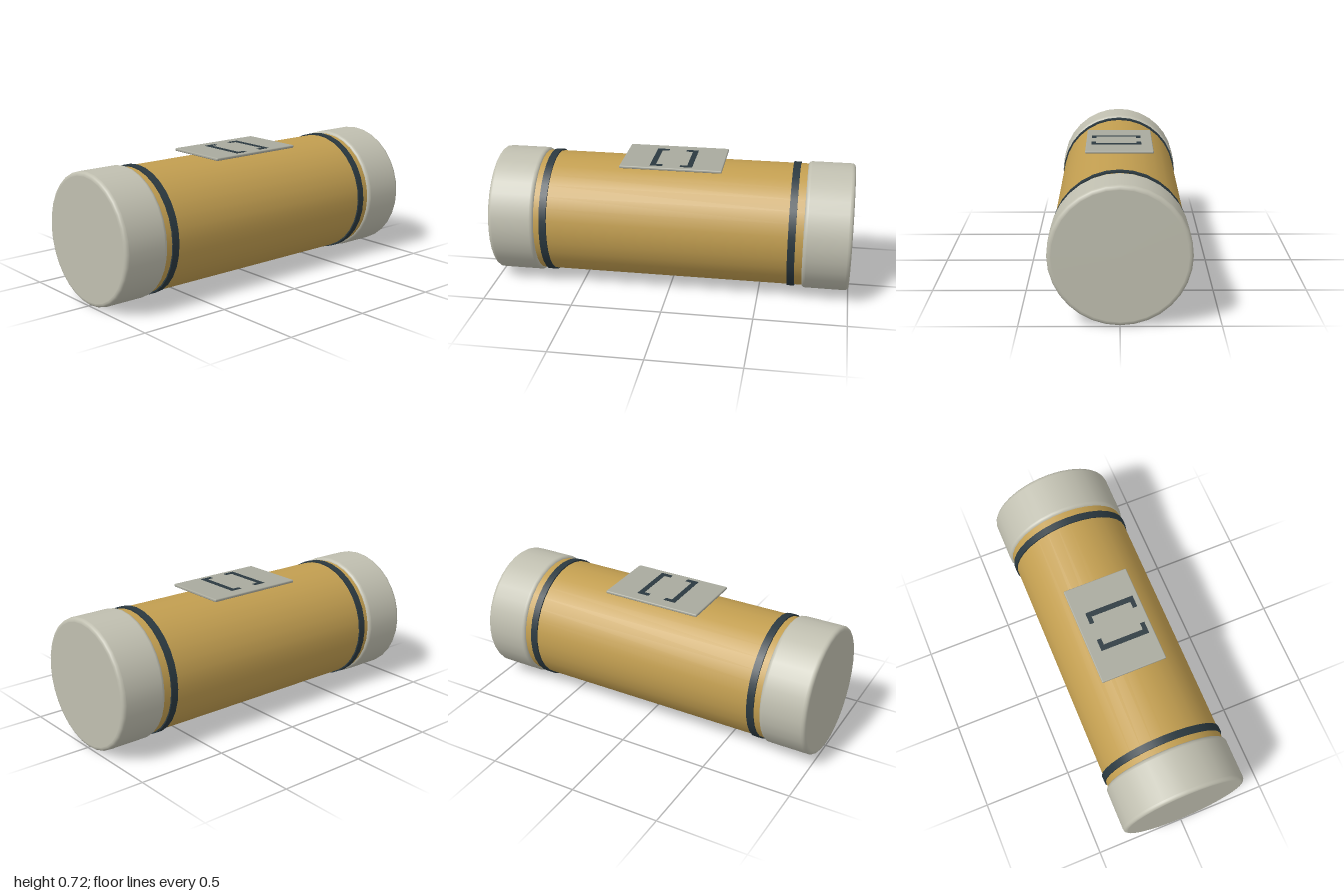
import * as THREE from 'three';
import { RoundedBoxGeometry } from 'three/addons/geometries/RoundedBoxGeometry.js';

const AXIS_Y = 0.3555; // height of the barrel's long axis
const SIDES = 32;

const material = (name, color) => {
  const m = new THREE.MeshStandardMaterial({ color });
  m.name = name;
  return m;
};

// Solid disc with softly rounded rims, turned about the x axis
function roundedDrum(radius, width, bevel) {
  const h = width / 2;
  const pts = [new THREE.Vector2(0, -h), new THREE.Vector2(radius - bevel - 0.002, -h)];
  for (const end of [-1, 1]) {
    for (let i = 0; i <= 4; i++) {
      const a = (end < 0 ? i - 4 : i) * Math.PI / 8;
      pts.push(new THREE.Vector2(
        radius - bevel + bevel * Math.cos(a),
        end * (h - bevel) + bevel * Math.sin(a)));
    }
    // support points keep the straight wall shaded evenly
    if (end < 0) {
      pts.push(new THREE.Vector2(radius, -h + bevel + 0.002));
      pts.push(new THREE.Vector2(radius, h - bevel - 0.002));
    }
  }
  pts.push(new THREE.Vector2(radius - bevel - 0.002, h), new THREE.Vector2(0, h));
  return new THREE.LatheGeometry(pts, SIDES).rotateZ(-Math.PI / 2);
}

const barrel = (radius, width) =>
  new THREE.CylinderGeometry(radius, radius, width, SIDES).rotateZ(-Math.PI / 2);

export function createModel() {
  const model = new THREE.Group();
  model.name = 'canister';

  const gold = material('ochre', 0xc29e50);
  const pale = material('pale grey', 0xc0bfb0);
  const grey = material('plate grey', 0xa9aa9e);
  const dark = material('dark slate', 0x2b3940);

  const add = (name, geometry, mat, x, y, z) => {
    const mesh = new THREE.Mesh(geometry, mat);
    mesh.name = name;
    mesh.position.set(x, y, z);
    model.add(mesh);
  };

  // Main barrel
  add('body', barrel(0.342, 1.52), gold, 0, AXIS_Y, 0);

  // End caps
  const cap = roundedDrum(0.3555, 0.26, 0.02);
  add('leftCap', cap, pale, 0.87, AXIS_Y, 0);
  add('rightCap', cap, pale, -0.87, AXIS_Y, 0);

  // Dark bands beside the caps
  const band = barrel(0.35, 0.04);
  add('leftBand', band, dark, 0.68, AXIS_Y, 0);
  add('rightBand', band, dark, -0.688, AXIS_Y, 0);

  // Flat plate on top
  add('topPlate', new RoundedBoxGeometry(0.565, 0.016, 0.37, 3, 0.006), grey, 0, 0.7065, 0);

  // Pair of facing bracket marks painted on the plate
  for (const side of [-1, 1]) {
    const mark = new THREE.Shape();
    [[0.117, -0.122], [0.117, 0.155], [0.049, 0.155], [0.049, 0.13],
      [0.087, 0.13], [0.087, -0.097], [0.049, -0.097], [0.049, -0.122]]
      .forEach(([x, z], i) => mark[i ? 'lineTo' : 'moveTo'](side * x, -z));
    const geometry = new THREE.ExtrudeGeometry(mark, { depth: 0.002, bevelEnabled: false });
    add(side > 0 ? 'leftMark' : 'rightMark', geometry.rotateX(-Math.PI / 2), dark, 0, 0.714, 0);
  }

  return model;
}
